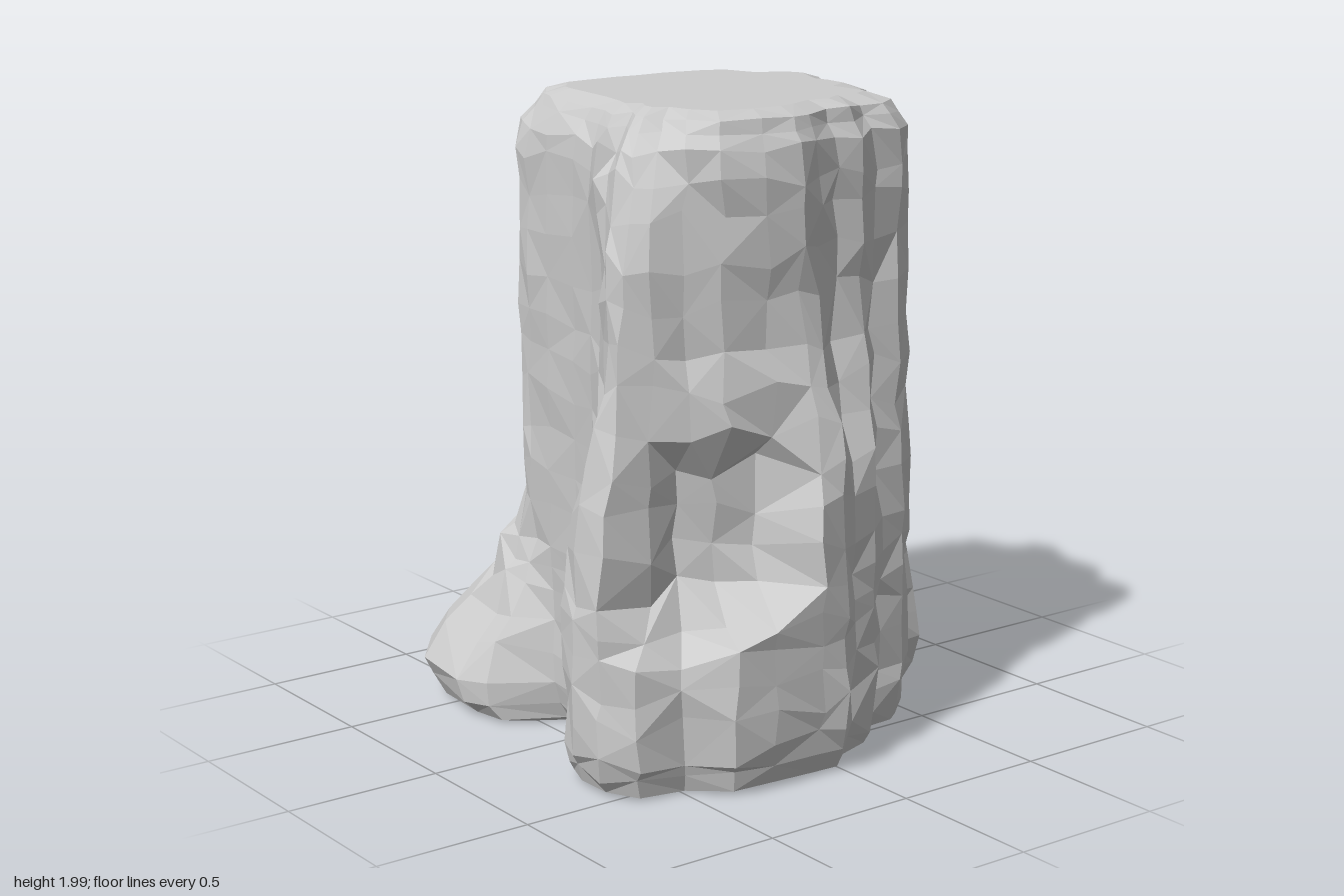
import * as THREE from 'three';

// Outlines as x, z pairs, running from the front centre round by the left side and the back
const CUT = [
  0, .48, .12, .5, .2, .53, .28, .57, .36, .61, .43, .61, .47, .54, .49, .43, .55, .34, .58, .2,
  .59, .08, .57, 0, .52, -.1, .53, -.2, .48, -.28, .49, -.38, .45, -.45, .26, -.44, .24, -.49, .21, -.53,
  .12, -.54, .05, -.52, -.03, -.56, -.12, -.6, -.19, -.56, -.25, -.46, -.39, -.41, -.43, -.33, -.44, -.24, -.45, -.14,
  -.45, -.02, -.46, .08, -.46, .22, -.45, .32, -.42, .39, -.36, .43, -.3, .44, -.17, .46,
];
const FOOT = [
  0, .48, .13, .5, .22, .58, .26, .7, .34, .73, .48, .74, .58, .67, .6, .52, .71, .41, .73, .28,
  .73, .1, .73, .01, .66, -.08, .63, -.19, .52, -.29, .51, -.4, .46, -.46, .28, -.47, .26, -.6, .24, -.72,
  .13, -.75, .03, -.68, -.04, -.64, -.18, -.6, -.2, -.54, -.26, -.47, -.44, -.46, -.46, -.38, -.51, -.28, -.63, -.18,
  -.64, -.04, -.72, .06, -.72, .22, -.77, .56, -.62, .67, -.38, .69, -.27, .66, -.14, .47,
];
// Height at which each ridge has narrowed from the foot to the cut outline
const FLARE = [
  .6, 1, 1.1, 1.2, 1.25, 1.15, .58, .55, .56, .62, 1.35, 1.4, 1.3, 1.4, 1.2, 1.2, 1.2, 1, 1.1, 1.2,
  1.2, 1.1, 1.2, 1.4, 1.2, 1, 1.4, 1.4, 1.4, 1.7, 1.7, .85, .75, .75, .7, .65, .6, .55,
];
const N = FLARE.length;
const LEVELS = [.02, .07, .14, .24, .34, .44, .52, .6, .72, .84, .96, 1.08, 1.2, 1.32, 1.45, 1.58, 1.7, 1.81, 1.89, 1.94, 1.975];
const { clamp, lerp, smoothstep } = THREE.MathUtils;

let seed = 7;
function jitter(amount) {
  seed = (seed * 16807) % 2147483647;
  return (seed / 2147483647 - .5) * 2 * amount;
}

function flareWeight(i, y) {
  const ledge = i >= 6 && i <= 9;
  const root = i >= 31;
  const backSpur = i >= 18 && i <= 22;
  const start = ledge ? FLARE[i] - .1 : root || backSpur ? .12 : FLARE[i] - .5;
  const w = clamp((FLARE[i] - y) / (FLARE[i] - start), 0, 1);
  return root ? w ** 1.35 : w;
}

function barkPoint(i, y) {
  const w = flareWeight(i, y);
  let x = lerp(CUT[2 * i], FOOT[2 * i], w);
  let z = lerp(CUT[2 * i + 1], FOOT[2 * i + 1], w);
  // hollow above the knot ledge, with a lip over it
  if (i >= 7 && i <= 9 && y > .54) x += y < .98 ? -.05 : y < 1.22 ? .03 : 0;
  // rounded rim, worn further back along the front
  const front = i < 8 || i > 33;
  const ridge = i >= 3 && i <= 6;
  let s = 1 - (front ? .15 : .09) * smoothstep(y, 1.86, 2);
  if (ridge) s -= .15 * smoothstep(y, 1.5, 2);
  // foot edge turned under, most at the roots
  const spread = i >= 31 || (i >= 18 && i <= 24);
  s -= (spread ? .1 : .06) * (1 - smoothstep(y, -.01, .13));
  // the hewn front is smoother than the bark
  const smooth = i < 2 || i > 36 || y < .1 || y > 1.85;
  const sway = smooth ? 0 : .008 * Math.sin(y * 6 + i * 1.7);
  const rough = smooth ? .006 : .012;
  const lift = y < .05 || y > 1.93 ? .006 : smooth ? .02 : .035;
  return [x * s + sway + jitter(rough), y + jitter(lift), z * s + sway + jitter(rough)];
}

// Skin between successive rings of N points
function skin(rings) {
  const index = [];
  for (let j = 0; j < rings.length - 1; j++) {
    for (let i = 0; i < N; i++) {
      const k = (i + 1) % N;
      const a = j * N + i, b = j * N + k, c = b + N, d = a + N;
      if ((i * 7 + j * 3) % 5 < 2) index.push(a, b, c, a, c, d);
      else index.push(a, b, d, b, c, d);
    }
  }
  const g = new THREE.BufferGeometry();
  g.setAttribute('position', new THREE.Float32BufferAttribute(rings.flat(2), 3));
  g.setIndex(index);
  const flat = g.toNonIndexed();
  flat.computeVertexNormals();
  return flat;
}

// Rings shrinking from an edge ring to a middle point
function capRings(edge, y) {
  const inner = [.86, .4, 0].map((s) => edge.map((p) => [p[0] * s, y, p[2] * s]));
  return [edge, ...inner];
}

export function createModel() {
  const group = new THREE.Group();
  group.name = 'treeStump';
  const material = new THREE.MeshStandardMaterial({ color: 0xcccccc, flatShading: true });
  const add = (name, rings) => {
    const mesh = new THREE.Mesh(skin(rings), material);
    mesh.name = name;
    group.add(mesh);
  };

  // Bark with ridges and root flares
  const bark = LEVELS.map((y) => Array.from({ length: N }, (_, i) => barkPoint(i, y)));
  add('bark', bark);

  // Sawn top and flat underside
  add('cutTop', capRings(bark[bark.length - 1], 1.998));
  add('underside', capRings(bark[0], .01).reverse());
  return group;
}
